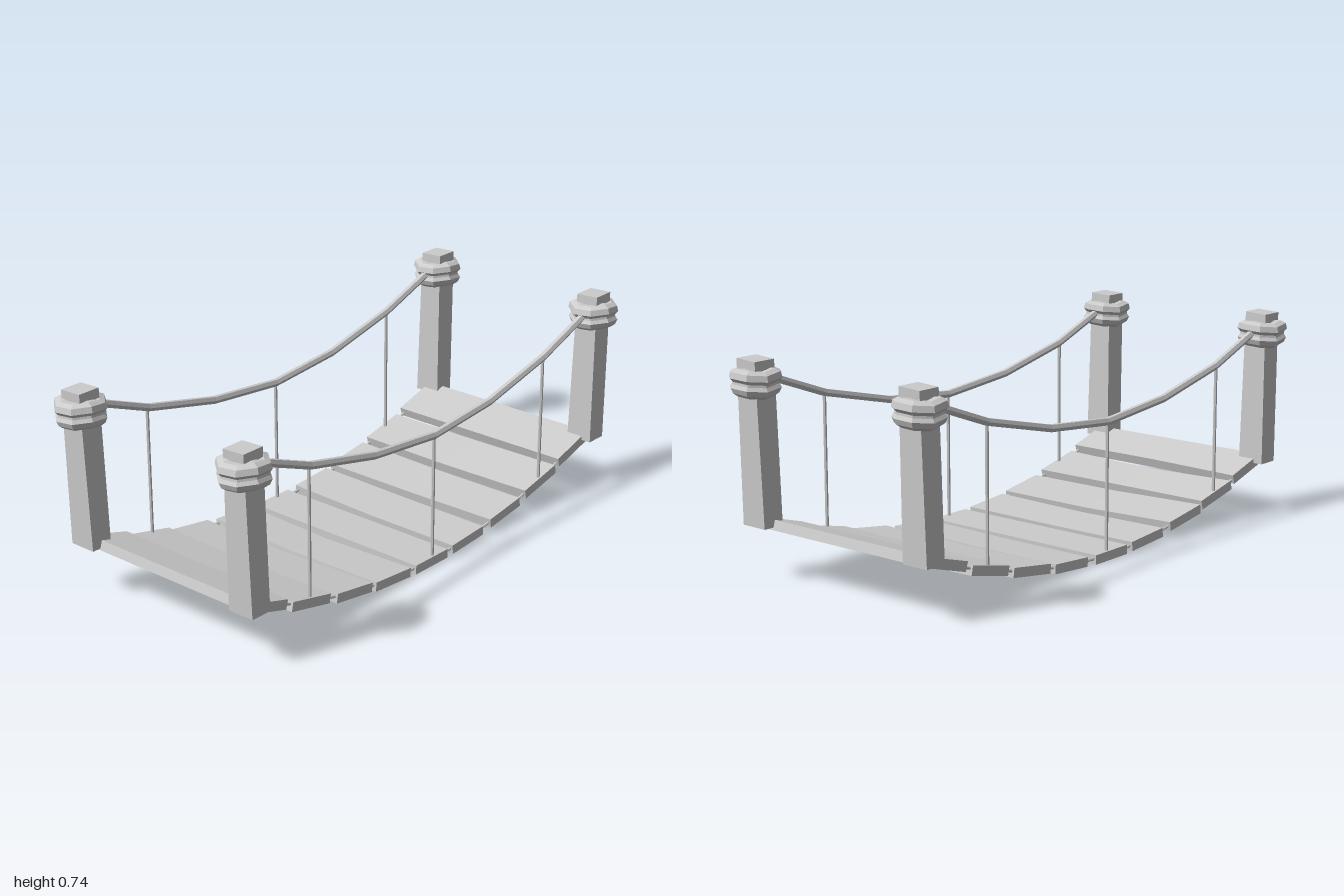
import * as THREE from 'three';

const material = new THREE.MeshStandardMaterial({ color: 0xcccccc, flatShading: true, side: THREE.DoubleSide });

function add(parent, name, geometry) {
  const mesh = new THREE.Mesh(geometry, material);
  mesh.name = name;
  parent.add(mesh);
  return mesh;
}

// Move every vertex of a geometry by a rule
function warp(geometry, rule) {
  const pos = geometry.attributes.position;
  const v = new THREE.Vector3();
  for (let i = 0; i < pos.count; i++) {
    rule(v.fromBufferAttribute(pos, i));
    pos.setXYZ(i, v.x, v.y, v.z);
  }
  geometry.computeVertexNormals();
  return geometry;
}

// Sagging centre line of the deck
const deckY = (z) => 0.022 + 0.225 * z * z;

// Back edge and front edge of each plank: z at right end, middle, left end, then dip of the middle
const PLANKS = [
  [[-0.9, -0.9, -0.9], [-0.72, -0.72, -0.72], 0],
  [[-0.695, -0.7, -0.7], [-0.52, -0.52, -0.52], 0.004],
  [[-0.495, -0.49, -0.485], [-0.31, -0.315, -0.315], 0.004],
  [[-0.285, -0.28, -0.27], [-0.115, -0.105, -0.1], 0.003],
  [[-0.07, -0.07, -0.07], [0.1, 0.1, 0.1], 0],
  [[0.13, 0.14, 0.13], [0.305, 0.31, 0.31], 0.006],
  [[0.35, 0.345, 0.33], [0.53, 0.525, 0.505], 0.008],
  [[0.54, 0.55, 0.54], [0.72, 0.71, 0.72], 0.005],
  [[0.735, 0.745, 0.745], [0.905, 0.905, 0.905], 0],
];

function plankGeometry([back, front, dip]) {
  const c = (back[1] + front[1]) / 2;
  return warp(new THREE.BoxGeometry(2, 0.033, 2, 2, 1, 1), (v) => {
    const edge = v.z < 0 ? back : front;
    const z = edge[Math.round(v.x) + 1];
    const slope = 0.45 * c * 0.8;
    const top = v.y;
    v.y += deckY(c) + slope * (z - c) - (Math.round(v.x) === 0 ? dip : 0);
    v.z = z - slope * top;
    v.x *= 0.372;
  });
}

// Hand rope hanging in straight segments
const ROPE = [[-0.91, 0.69], [-0.84, 0.67], [-0.61, 0.585], [-0.3, 0.512], [0, 0.485],
  [0.31, 0.515], [0.62, 0.585], [0.84, 0.67], [0.91, 0.69]];

function ropeGeometry(points, radius) {
  const path = new THREE.CurvePath();
  for (let i = 1; i < points.length; i++) {
    path.add(new THREE.LineCurve3(points[i - 1], points[i]));
  }
  const smooth = new THREE.CatmullRomCurve3(points);
  // One ring per point keeps the facets of the rope
  smooth.getPointAt = (u) => smooth.getPoint(u);
  smooth.getTangentAt = (u) => smooth.getTangent(u);
  return new THREE.TubeGeometry(smooth, points.length - 1, radius, 6, false);
}

// Tapered, slightly leaning post with a wound rope collar
function makePost(sx, sz) {
  const post = new THREE.Group();
  post.name = 'post';
  const bottom = 0.188;
  const height = 0.555;
  add(post, 'postBeam', warp(new THREE.BoxGeometry(1, height, 1, 1, 3, 1), (v) => {
    const t = v.y / height + 0.5;
    v.x = v.x * (0.1 - 0.015 * t) + sx * 0.358;
    v.z = v.z * (0.08 + 0.004 * t) + sz * (0.901 + 0.014 * t);
    v.y += bottom + height / 2 + (t > 0.9 ? 0.05 * (v.x - sx * 0.358) : 0);
  }));

  const profile = [[0.035, -0.046], [0.062, -0.046], [0.08, -0.034], [0.088, -0.016], [0.08, -0.004],
    [0.079, 0.004], [0.09, 0.016], [0.085, 0.036], [0.066, 0.045], [0.035, 0.045]];
  const collar = add(post, 'ropeCollar', warp(
    new THREE.LatheGeometry(profile.map(([r, y]) => new THREE.Vector2(r, y)), 8, Math.PI / 8 + 0.1),
    (v) => { v.y += 0.004 * Math.sin(3 * Math.atan2(v.z, v.x)); }
  ));
  collar.position.set(sx * 0.36, 0.667, sz * 0.914);
  collar.rotation.z = 0.03;
  return post;
}

export function createModel() {
  const bridge = new THREE.Group();
  bridge.name = 'ropeBridge';

  // Deck
  const deck = new THREE.Group();
  deck.name = 'deck';
  bridge.add(deck);
  PLANKS.forEach((p) => add(deck, 'plank', plankGeometry(p)));

  for (const sx of [-1, 1]) {
    const x = sx * 0.36;

    // Posts
    for (const sz of [-1, 1]) bridge.add(makePost(sx, sz));

    // Hand rope and the thin rope threaded through the planks
    add(bridge, 'handRope', ropeGeometry(ROPE.map(([z, y]) => new THREE.Vector3(x, y, z)), 0.014));
    const low = [];
    for (let i = -8; i <= 8; i++) low.push(new THREE.Vector3(x, deckY(i * 0.1), i * 0.1));
    add(bridge, 'deckRope', ropeGeometry(low, 0.005));

    // Vertical hangers
    for (const [z, top] of [[-0.61, 0.585], [0, 0.485], [0.625, 0.587]]) {
      const foot = deckY(z);
      const hanger = add(bridge, 'hanger', new THREE.CylinderGeometry(0.006, 0.006, top - foot, 6));
      hanger.position.set(x, (top + foot) / 2, z);
    }
  }
  return bridge;
}
